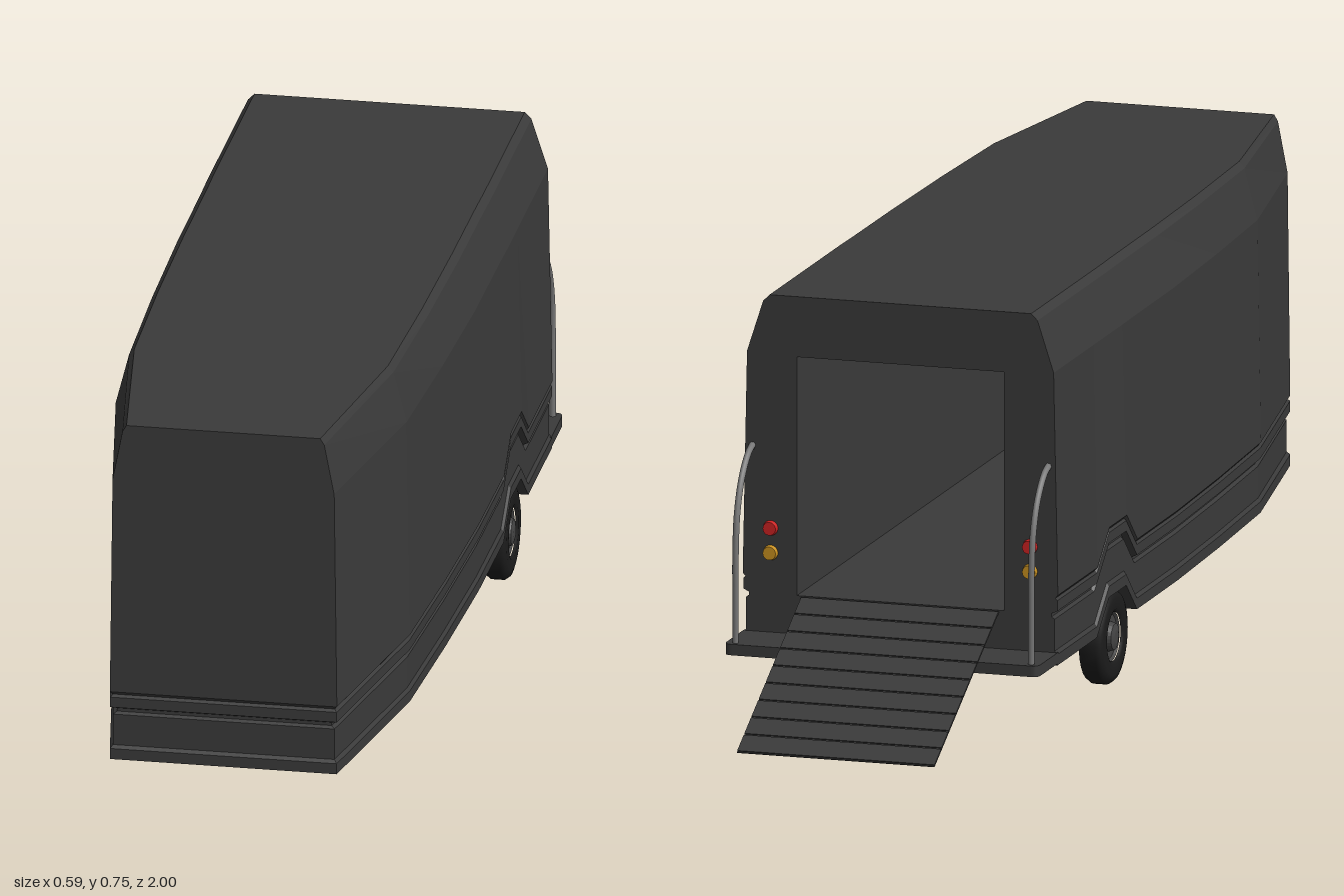
import * as THREE from 'three';

const paint = (color, flatShading = false) => new THREE.MeshStandardMaterial({ color, flatShading });
const DARK = 0x3a3a3a;
const REAR = -0.625;

// half profile, bottom to top: height, taper inset, trim depth
const PROFILE = [
  [0.112, 0.002, 0], [0.132, 0.002, 0], [0.138, 0.002, 0.005], [0.196, 0.002, 0.005],
  [0.2, 0.002, 0.011], [0.206, 0.002, 0.011], [0.211, 0.002, 0], [0.23, 0.002, 0],
  [0.234, 0, 0.006], [0.24, 0, 0.001], [0.645, 0.008, 0.001], [0.738, 0.038, 0.001], [0.75, 0.05, 0.001],
];
// stations along the body: z, half width, wheel arch rise, taper factor
const STATIONS = [
  [REAR, 0.295, 0, 1], [-0.395, 0.295, 0, 1], [-0.325, 0.295, 0.058, 1], [-0.225, 0.295, 0.058, 1],
  [-0.16, 0.294, 0, 1], [0.08, 0.293, 0, 1], [0.35, 0.284, 0, 0.9], [0.63, 0.27, 0, 0.8], [1, 0.206, 0, 0.6],
];

function section([z, w, rise, taper]) {
  const half = PROFILE.map(([y, t, d]) => [w - t * taper - d, y + (y < 0.3 ? rise : 0), z === 1 ? z - d : z]);
  return [...half, ...half.map(([x, y, zz]) => [-x, y, zz]).reverse()];
}

// side walls, roof and underside lofted through the stations, front closed in strips
function shellGeometry() {
  const n = PROFILE.length * 2;
  const index = [];
  const quad = (a, b, c, d) => index.push(a, b, c, a, c, d);
  for (let k = 0; k < STATIONS.length - 1; k++) {
    for (let i = 0; i < n; i++) {
      const j = (i + 1) % n;
      quad(k * n + i, k * n + j, (k + 1) * n + j, (k + 1) * n + i);
    }
  }
  const f = (STATIONS.length - 1) * n;
  for (let i = 0; i < PROFILE.length - 1; i++) quad(f + n - 1 - i, f + i, f + i + 1, f + n - 2 - i);
  const g = new THREE.BufferGeometry();
  g.setAttribute('position', new THREE.Float32BufferAttribute(STATIONS.flatMap(section).flat(), 3));
  g.setIndex(index);
  const flat = g.toNonIndexed();
  flat.computeVertexNormals();
  return flat;
}

export function createModel() {
  const model = new THREE.Group();
  const add = (name, geometry, material, x = 0, y = 0, z = 0, parent = model) => {
    const m = new THREE.Mesh(geometry, material);
    m.name = name;
    m.position.set(x, y, z);
    parent.add(m);
    return m;
  };
  const body = paint(DARK, true);
  add('bodyShell', shellGeometry(), body);

  // rear wall with doorway
  const doorHalf = 0.193, sill = 0.205, head = 0.64;
  const wall = new THREE.Shape(section(STATIONS[0]).map(([x, y]) => new THREE.Vector2(x, y)));
  wall.holes.push(new THREE.Path([[-doorHalf, sill], [-doorHalf, head], [doorHalf, head], [doorHalf, sill]]
    .map(([x, y]) => new THREE.Vector2(x, y))));
  add('rearWall', new THREE.ShapeGeometry(wall).rotateY(Math.PI), body, 0, 0, REAR);

  // cargo room, open at the doorway
  const depth = 1.3;
  const room = new THREE.BoxGeometry(doorHalf * 2, head - sill, depth);
  room.setIndex(Array.from(room.index.array).slice(0, 30));
  room.clearGroups();
  const roomMaterial = paint(DARK);
  roomMaterial.side = THREE.DoubleSide;
  add('cargoRoom', room, roomMaterial, 0, (sill + head) / 2, REAR + depth / 2);

  // rear step with rounded outer corners
  const step = new THREE.Shape();
  step.moveTo(-0.293, 0.62);
  step.lineTo(0.293, 0.62);
  step.lineTo(0.293, 0.723);
  step.quadraticCurveTo(0.293, 0.738, 0.278, 0.738);
  step.lineTo(-0.278, 0.738);
  step.quadraticCurveTo(-0.293, 0.738, -0.293, 0.723);
  add('rearStep', new THREE.ExtrudeGeometry(step, { depth: 0.02, bevelEnabled: false }).rotateX(-Math.PI / 2), body, 0, 0.115, 0);

  // sloping ramp: thin board and slats
  const ramp = new THREE.Group();
  ramp.name = 'ramp';
  ramp.position.set(0, 0.102, -0.8125);
  ramp.rotation.x = -Math.atan2(0.2, 0.375);
  model.add(ramp);
  const length = 0.424, slats = 9, pitch = length / slats;
  add('rampBoard', new THREE.BoxGeometry(0.368, 0.002, length), body, 0, 0, 0, ramp);
  for (let i = 0; i < slats; i++) {
    add('rampSlat', new THREE.BoxGeometry(0.368, 0.004, pitch - 0.004), body, 0, 0.001, -length / 2 + (i + 0.5) * pitch, ramp);
  }

  // wheel profiles: radius, position along the axle
  const lathe = (pts, sides) =>
    new THREE.LatheGeometry(pts.map(([r, y]) => new THREE.Vector2(r, y)), sides).rotateZ(-Math.PI / 2);
  const tyre = lathe([[0.044, -0.018], [0.05, -0.023], [0.07, -0.023], [0.08, -0.02], [0.086, -0.012],
    [0.086, 0.012], [0.08, 0.02], [0.07, 0.023], [0.05, 0.023], [0.044, 0.018]], 32);
  const rim = lathe([[0, -0.014], [0.045, -0.014], [0.045, 0.016], [0.04, 0.012], [0.027, 0.012],
    [0.024, 0.022], [0.012, 0.025], [0, 0.025]], 24);
  const tyreMaterial = paint(0x1c1c1c), rimMaterial = paint(0x444444, true);

  // grab rail path
  const railPath = new THREE.CatmullRomCurve3([[0.475, -0.62], [0.465, -0.648], [0.425, -0.688], [0.37, -0.713],
    [0.31, -0.722], [0.22, -0.723], [0.13, -0.723]].map(([y, z]) => new THREE.Vector3(0, y, z)));
  const rail = new THREE.TubeGeometry(railPath, 28, 0.006, 10);
  const lamp = new THREE.CylinderGeometry(0.012, 0.014, 0.01, 20).rotateX(-Math.PI / 2);
  const railMaterial = paint(0x777777), red = paint(0xcc2222), amber = paint(0xc89020);

  for (const [side, s] of [['left', 1], ['right', -1]]) {
    const wheel = new THREE.Group();
    wheel.name = side + 'Wheel';
    wheel.position.set(0.266 * s, 0.087, -0.275);
    wheel.rotation.y = s > 0 ? 0 : Math.PI;
    model.add(wheel);
    add('tyre', tyre, tyreMaterial, 0, 0, 0, wheel);
    add('rim', rim, rimMaterial, 0, 0, 0, wheel);
    add(side + 'GrabRail', rail, railMaterial, 0.276 * s, 0, 0);
    add(side + 'BrakeLamp', lamp, red, 0.242 * s, 0.325, REAR - 0.004);
    add(side + 'TurnLamp', lamp, amber, 0.242 * s, 0.28, REAR - 0.004);
  }
  return model;
}
